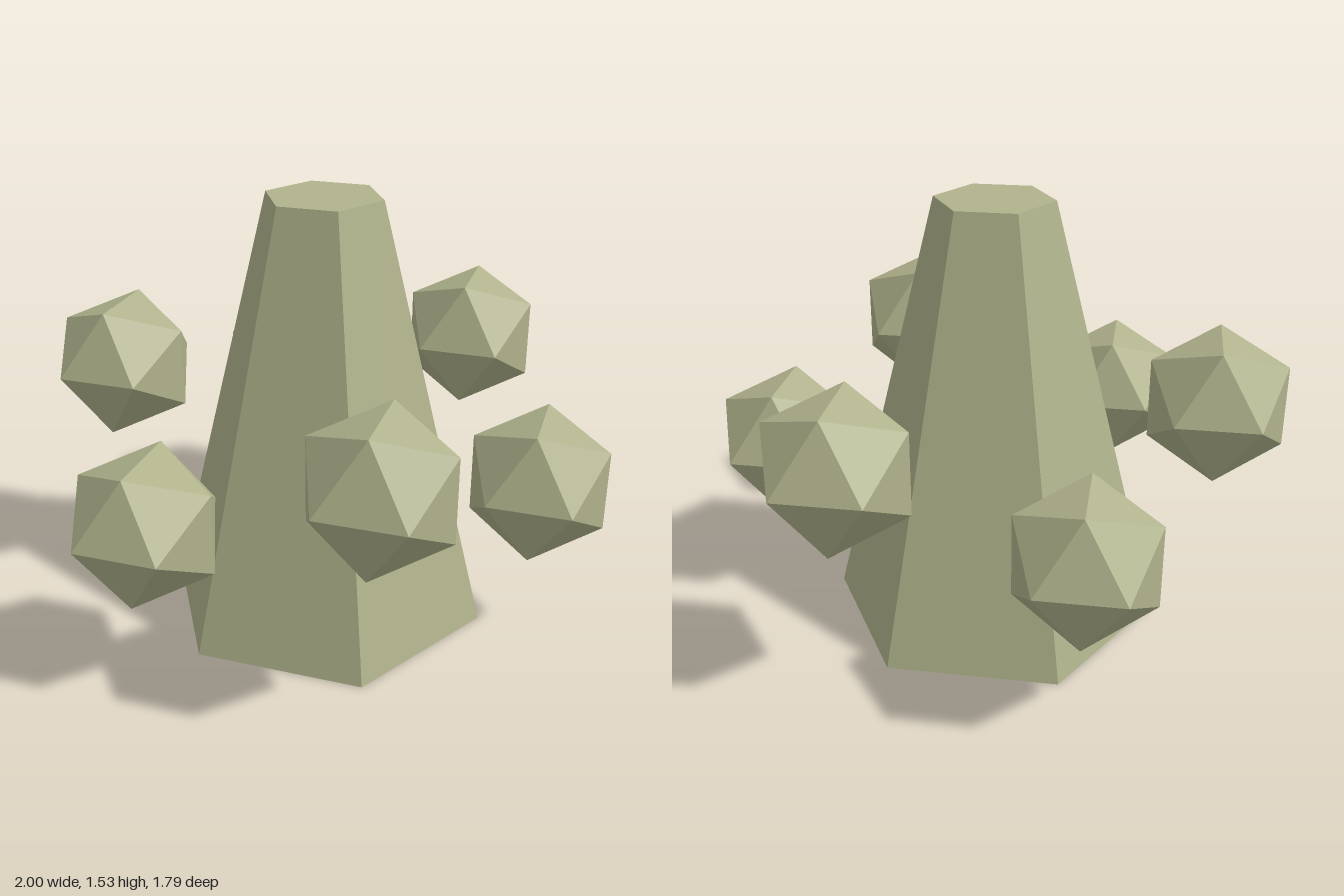
import * as THREE from 'three';

export function createModel() {
  const model = new THREE.Group();
  model.name = 'taperedTowerWithOrbs';
  const olive = new THREE.MeshStandardMaterial({ color: 0xb0b38c, flatShading: true });
  olive.name = 'paleOlive';

  // Six-sided tapered tower with corners on the x axis
  const height = 1.535;
  const tower = new THREE.Mesh(
    new THREE.CylinderGeometry(0.205, 0.595, height, 6, 1, false, Math.PI / 6), olive);
  tower.name = 'tower';
  tower.position.y = height / 2;
  model.add(tower);

  // Ring of six floating orbs, alternating low and high
  const orbGeometry = new THREE.IcosahedronGeometry(0.271, 0).rotateY(Math.PI / 2);
  const ringRadius = 0.77;
  for (let i = 0; i < 6; i++) {
    const angle = (i * Math.PI) / 3;
    const orb = new THREE.Mesh(orbGeometry, olive);
    orb.name = `floatingOrb${i + 1}`;
    orb.position.set(
      Math.cos(angle) * ringRadius,
      i % 2 ? 0.855 : 0.6,
      Math.sin(angle) * ringRadius);
    model.add(orb);
  }
  return model;
}
